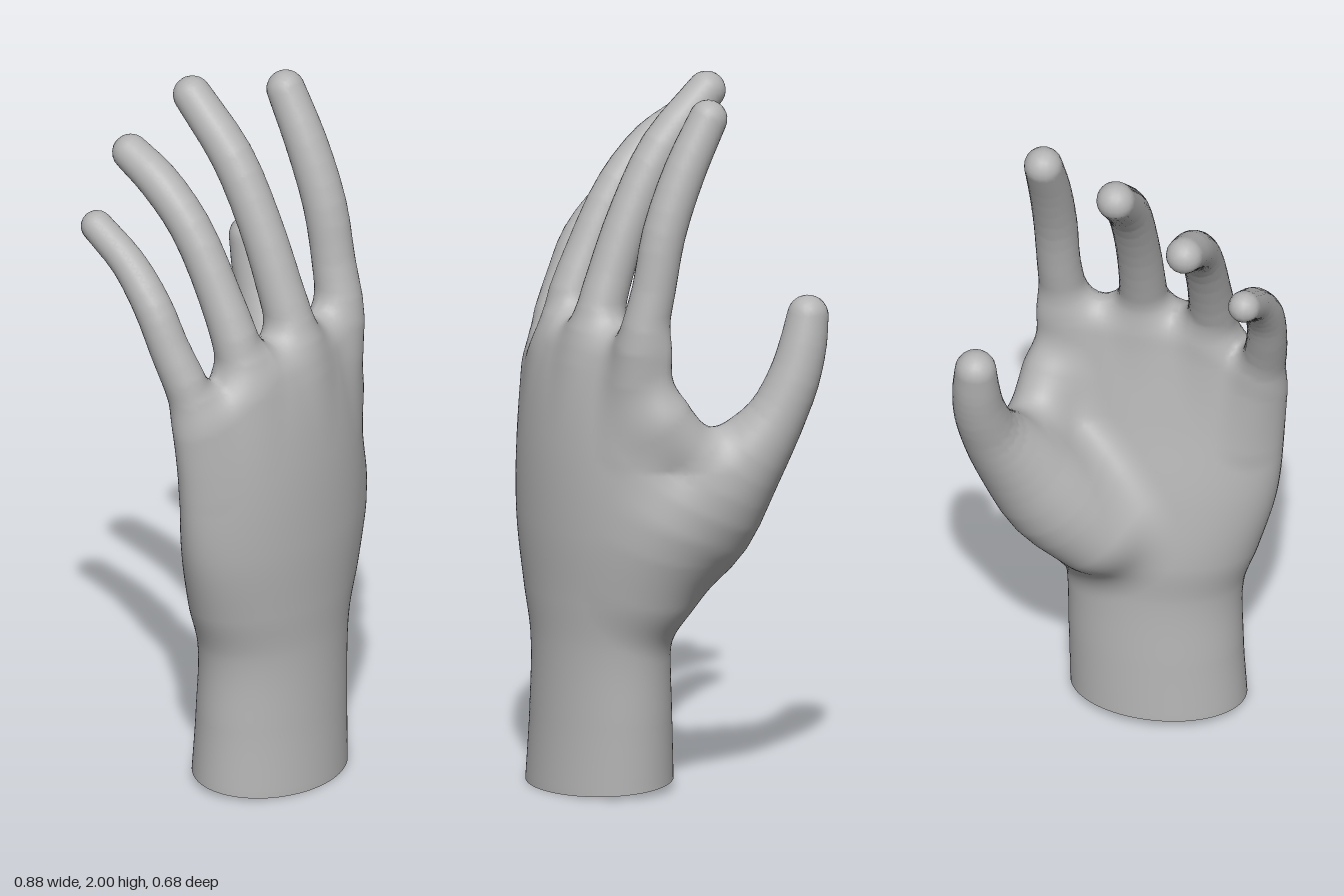
import * as THREE from 'three';

// Fingers, thumb and thumb web: centre points with radius [x, y, z, r], root to tip
const digits = {
  indexFinger: [[0.18, 1, 0.17, 0.06], [0.224, 1.28, 0.175, 0.067], [0.235, 1.45, 0.14, 0.061],
    [0.236, 1.61, 0.107, 0.061], [0.235, 1.78, 0.04, 0.059], [0.235, 1.921, -0.035, 0.054]],
  middleFinger: [[-0.01, 1.02, 0.2, 0.065], [0.003, 1.3, 0.19, 0.069], [-0.002, 1.45, 0.145, 0.064],
    [-0.005, 1.63, 0.072, 0.061], [-0.007, 1.8, -0.025, 0.06], [-0.008, 1.946, -0.17, 0.054]],
  ringFinger: [[-0.19, 1.02, 0.185, 0.065], [-0.2, 1.3, 0.17, 0.067], [-0.207, 1.48, 0.1, 0.06],
    [-0.212, 1.66, -0.003, 0.058], [-0.217, 1.77, -0.115, 0.057], [-0.218, 1.828, -0.216, 0.052]],
  littleFinger: [[-0.3, 0.95, 0.15, 0.06], [-0.357, 1.22, 0.125, 0.062], [-0.383, 1.37, 0.065, 0.056],
    [-0.39, 1.48, 0.012, 0.054], [-0.386, 1.585, -0.08, 0.049], [-0.385, 1.665, -0.197, 0.045]],
  thumb: [[0.1, 0.66, 0, 0.138], [0.2, 0.78, -0.035, 0.152], [0.287, 0.93, -0.1, 0.122],
    [0.345, 1.06, -0.178, 0.085], [0.367, 1.18, -0.232, 0.073], [0.37, 1.28, -0.263, 0.066], [0.367, 1.36, -0.28, 0.058]],
  thumbWeb: [[0.16, 0.6, 0.09, 0.11], [0.232, 0.78, 0.06, 0.122], [0.274, 0.93, 0.01, 0.088], [0.26, 1.07, 0.1, 0.058]],
};

// Wrist and palm cross-sections by height: left x, right x, palm z, back z, arch
const heights = [0, 0.2, 0.42, 0.55, 0.75, 1, 1.2, 1.35];
const sections = [
  [-0.3, 0.2, -0.04, 0.34, 0], [-0.29, 0.205, -0.03, 0.33, 0], [-0.293, 0.215, -0.02, 0.325, 0],
  [-0.335, 0.245, -0.025, 0.33, 0], [-0.388, 0.29, 0, 0.335, 0.1], [-0.41, 0.3, 0.055, 0.323, 0.3],
  [-0.412, 0.29, 0.095, 0.292, 0.45], [-0.41, 0.285, 0.12, 0.245, 0.45],
];
const profile = new THREE.CubicInterpolant(heights, sections.flat(), 5, new Float32Array(5));

// Smooth union and smooth intersection of two distances
function blend(a, b, k) {
  const h = Math.max(k - Math.abs(a - b), 0) / k;
  return Math.min(a, b) - h * h * k / 4;
}
const cut = (a, b, k) => -blend(-a, -b, k);

// Distance to the arched elliptical palm, ending below the finger roots
function palmDistance(x, y, z) {
  const [x0, x1, z0, z1, arch] = profile.evaluate(y);
  const a = (x1 - x0) / 2, b = (z1 - z0) / 2;
  const u = x - (x0 + x1) / 2;
  const v = z - (z0 + z1) / 2 + arch * u * u;
  const k0 = Math.hypot(u / a, v / b), k1 = Math.hypot(u / a / a, v / b / b);
  const side = k1 > 1e-6 ? k0 * (k0 - 1) / k1 : -b;
  const top = 1.327 - 0.55 * Math.max(0, -0.15 - x);
  return cut(side, y - top, 0.08);
}

// Smoothly resampled chain of tapered limbs
function makeChain(points) {
  const last = points.length - 1, n = last * 3;
  const curve = new THREE.CatmullRomCurve3(points.map((p) => new THREE.Vector3(...p)));
  const radius = new THREE.CubicInterpolant(points.map((_, i) => i), points.map((p) => p[3]), 1, new Float32Array(1));
  return Array.from({ length: n + 1 }, (_, i) => [...curve.getPoint(i / n).toArray(), radius.evaluate(i / 3)[0]]);
}

// Distance to a chain of round cones
function chainDistance(chain, x, y, z) {
  let best = Infinity;
  for (let i = 0; i + 1 < chain.length; i++) {
    const p = chain[i], q = chain[i + 1];
    const dx = q[0] - p[0], dy = q[1] - p[1], dz = q[2] - p[2];
    const wx = x - p[0], wy = y - p[1], wz = z - p[2];
    const length = Math.sqrt(dx * dx + dy * dy + dz * dz);
    const along = (wx * dx + wy * dy + wz * dz) / length;
    const away = Math.sqrt(Math.max(0, wx * wx + wy * wy + wz * wz - along * along));
    const taper = (q[3] - p[3]) / length;
    const lean = taper / Math.sqrt(Math.max(0.1, 1 - taper * taper));
    const t = Math.min(length, Math.max(0, along + away * lean));
    const d = Math.sqrt(away * away + (along - t) * (along - t)) - p[3] - t * taper;
    best = Math.min(best, d);
  }
  return best;
}

const names = ['palm', ...Object.keys(digits)];
const chains = Object.values(digits).map(makeChain);
const partDistances = (x, y, z) => [palmDistance(x, y, z), ...chains.map((c) => chainDistance(c, x, y, z))];

// The whole hand: fingers blended into the palm, then the thumb with its web
function handDistance(x, y, z) {
  const [palm, index, middle, ring, little, thumb, web] = partDistances(x, y, z);
  const fingers = blend(blend(index, middle, 0.02), blend(ring, little, 0.02), 0.02);
  return blend(blend(palm, fingers, 0.06), blend(thumb, web, 0.07), 0.11);
}
function gradient(x, y, z) {
  const e = 0.004;
  return new THREE.Vector3(
    handDistance(x + e, y, z) - handDistance(x - e, y, z),
    handDistance(x, y + e, z) - handDistance(x, y - e, z),
    handDistance(x, y, z + e) - handDistance(x, y, z - e)).divideScalar(2 * e);
}

// Skin the field: one vertex per crossed grid cell, one quad per crossed edge
function buildSkin() {
  const h = 0.016, origin = [-0.496, 0, -0.4], size = [63, 130, 51];
  const step = [1, size[0], size[0] * size[1]];
  const field = new Float32Array(size[0] * size[1] * size[2]);
  const at = (i, j, k) => i + j * step[1] + k * step[2];
  const eachCell = (fn) => {
    for (let k = 0; k < size[2] - 1; k++)
      for (let j = 0; j < size[1] - 1; j++)
        for (let i = 0; i < size[0] - 1; i++) fn(i, j, k);
  };
  for (let k = 0; k < size[2]; k++)
    for (let j = 0; j < size[1]; j++)
      for (let i = 0; i < size[0]; i++)
        field[at(i, j, k)] = handDistance(origin[0] + i * h, origin[1] + j * h, origin[2] + k * h);

  const points = [], normals = [], vertexOf = new Map();
  eachCell((i, j, k) => {
    const c = at(i, j, k);
    let inside = 0;
    for (let n = 0; n < 8; n++)
      if (field[c + (n & 1) + ((n >> 1) & 1) * step[1] + (n >> 2) * step[2]] < 0) inside++;
    if (inside === 0 || inside === 8) return;
    const p = new THREE.Vector3(origin[0] + (i + 0.5) * h, (j + 0.5) * h, origin[2] + (k + 0.5) * h);
    // Slide onto the surface; the lowest row stays on the wrist rim
    for (let n = 0; n < 3; n++) {
      if (j === 0) p.y = 0;
      const g = gradient(p.x, p.y, p.z);
      const move = handDistance(p.x, p.y, p.z) / Math.max(g.lengthSq(), 0.2);
      p.addScaledVector(g, -THREE.MathUtils.clamp(move, -h, h));
    }
    if (j === 0) p.y = 0;
    vertexOf.set(c, points.length);
    points.push(p);
    normals.push(gradient(p.x, p.y, p.z).normalize());
  });

  const faces = names.map(() => []);
  const ab = new THREE.Vector3(), ac = new THREE.Vector3(), mid = new THREE.Vector3();
  const addQuad = (q) => {
    mid.copy(points[q[0]]).add(points[q[2]]).multiplyScalar(0.5);
    const near = partDistances(mid.x, mid.y, mid.z);
    const part = faces[near.indexOf(Math.min(...near))];
    ab.subVectors(points[q[2]], points[q[0]]);
    ac.subVectors(points[q[3]], points[q[1]]);
    const facing = ab.cross(ac).dot(normals[q[0]].clone().add(normals[q[2]]));
    const [a, b, c, d] = facing > 0 ? q : [q[3], q[2], q[1], q[0]];
    part.push(a, b, c, a, c, d);
  };
  eachCell((i, j, k) => {
    const c = at(i, j, k);
    for (let axis = 0; axis < 3; axis++) {
      if ((field[c] < 0) === (field[c + step[axis]] < 0)) continue;
      if (j === 0 && axis !== 1) continue;
      const u = step[(axis + 1) % 3], v = step[(axis + 2) % 3];
      const quad = [c, c - u, c - u - v, c - v].map((n) => vertexOf.get(n));
      if (quad.every((n) => n !== undefined)) addQuad(quad);
    }
  });

  // Tilt the wrist rim slightly
  for (const p of points) p.y += 0.03 * (0.34 - p.z) / 0.38 * Math.max(0, 1 - p.y / 0.2);
  return { points, normals, faces };
}

export function createModel() {
  const skin = new THREE.MeshStandardMaterial({ color: 0xb4b4b4, side: THREE.DoubleSide });
  skin.name = 'greySkin';
  const hand = new THREE.Group();
  hand.name = 'hand';
  const { points, normals, faces } = buildSkin();
  faces.forEach((face, n) => {
    // Keep only the vertices this part uses
    const used = [...new Set(face)];
    const slot = new Map(used.map((v, i) => [v, i]));
    const geometry = new THREE.BufferGeometry().setFromPoints(used.map((v) => points[v]));
    const normalData = used.flatMap((v) => normals[v].toArray());
    geometry.setAttribute('normal', new THREE.Float32BufferAttribute(normalData, 3));
    geometry.setIndex(face.map((v) => slot.get(v)));
    const mesh = new THREE.Mesh(geometry, skin);
    mesh.name = names[n];
    hand.add(mesh);
  });
  return hand;
}
